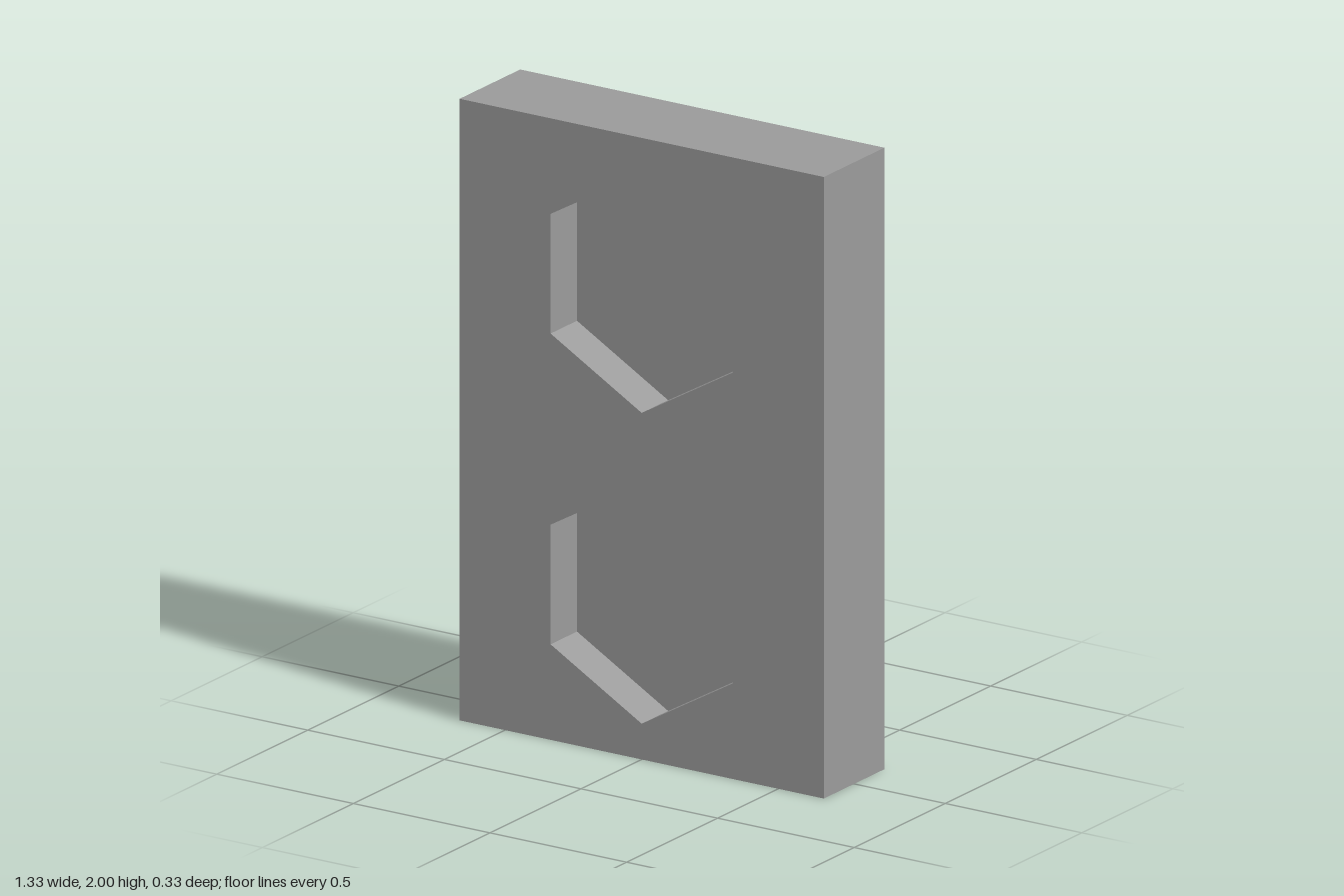
import * as THREE from 'three';

const W = 1.333, H = 2, D = 0.333; // slab size
const R = 0.385, DEPTH = 0.145; // hexagonal recess radius and depth
const CENTRES = [0.5, 1.5]; // recess heights

export function createModel() {
  const model = new THREE.Group();
  const material = new THREE.MeshStandardMaterial({ color: 0x9b9b9b, flatShading: true });
  const inner = material.clone();
  inner.side = THREE.BackSide;

  const add = (name, geometry, mat, y, z) => {
    const mesh = new THREE.Mesh(geometry, mat);
    mesh.name = name;
    mesh.position.set(0, y, z);
    model.add(mesh);
  };

  // slab sides and back: a box without its +z face
  const box = new THREE.BoxGeometry(W, H, D);
  const index = Array.from(box.index.array);
  index.splice(24, 6);
  box.setIndex(index);
  box.clearGroups();
  add('slabBody', box, material, H / 2, 0);

  // front face with two hexagonal openings
  const face = new THREE.Shape([
    new THREE.Vector2(-W / 2, 0), new THREE.Vector2(W / 2, 0),
    new THREE.Vector2(W / 2, H), new THREE.Vector2(-W / 2, H),
  ]);
  for (const y of CENTRES) {
    const corners = [];
    for (let i = 0; i < 6; i++) {
      const a = Math.PI / 2 - i * Math.PI / 3;
      corners.push(new THREE.Vector2(R * Math.cos(a), y + R * Math.sin(a)));
    }
    face.holes.push(new THREE.Path(corners));
  }
  add('frontFace', new THREE.ShapeGeometry(face), material, 0, D / 2);

  // walls and floor of each recess
  for (const y of CENTRES) {
    const walls = new THREE.CylinderGeometry(R, R, DEPTH, 6, 1, true).rotateX(Math.PI / 2);
    add('recessWalls', walls, inner, y, D / 2 - DEPTH / 2);
    add('recessFloor', new THREE.CircleGeometry(R, 6, Math.PI / 2), material, y, D / 2 - DEPTH);
  }
  return model;
}
